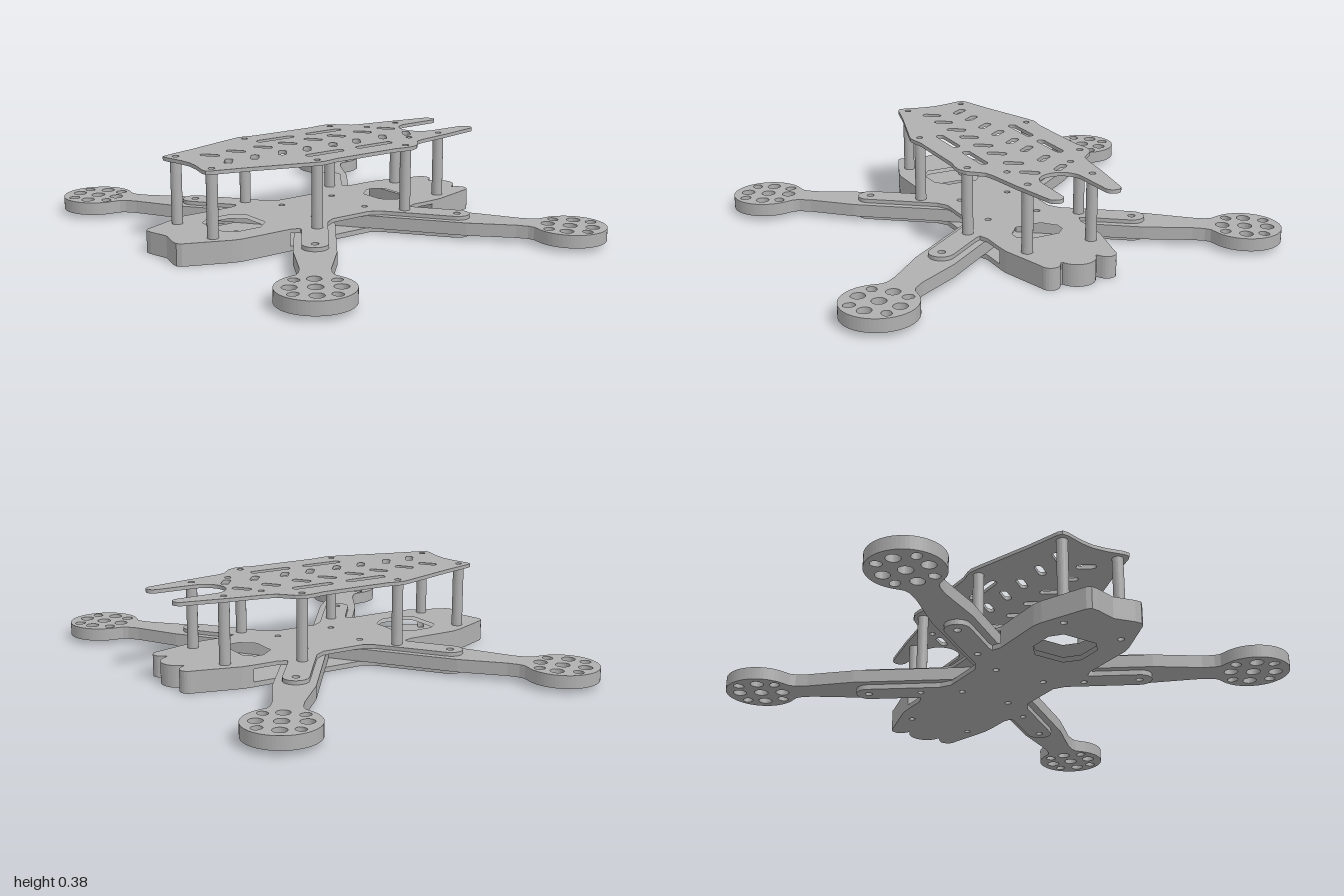
import * as THREE from 'three';

const V = (x, z) => new THREE.Vector2(x, z);

// closed circle or capsule outline in the (x, z) plane
function slot(x, z, r, half = 0, angle = 0, n = 24) {
  const pts = [];
  for (let i = 0; i < n; i++) {
    const a = ((i + 0.5) / n) * Math.PI * 2;
    const px = r * Math.cos(a) + Math.sign(Math.cos(a)) * half, pz = r * Math.sin(a);
    pts.push(V(x + px * Math.cos(angle) - pz * Math.sin(angle), z + px * Math.sin(angle) + pz * Math.cos(angle)));
  }
  return pts;
}

// full outline from its +x half, listed from front centre to rear centre
const mirrored = half => [
  ...half,
  ...half.filter(p => p.x > 1e-4).reverse().map(p => V(-p.x, p.y)),
];

const arc = (cx, cz, r, a0, a1, n) =>
  Array.from({ length: n + 1 }, (_, i) => {
    const a = a0 + ((a1 - a0) * i) / n;
    return V(cx + r * Math.cos(a), cz + r * Math.sin(a));
  });

// flat sheet lying between heights y0 and y1
function plate(name, outline, holes, y0, y1, material) {
  const shape = new THREE.Shape(outline);
  shape.holes = holes.map(h => new THREE.Path(h));
  const geo = new THREE.ExtrudeGeometry(shape, { depth: y1 - y0, bevelEnabled: false });
  geo.rotateX(Math.PI / 2).translate(0, y1, 0);
  const mesh = new THREE.Mesh(geo, material);
  mesh.name = name;
  return mesh;
}

export function createModel() {
  const group = new THREE.Group();
  const grey = new THREE.MeshStandardMaterial({ color: 0xb0b0b0 });
  grey.name = 'carbon grey';
  const add = (...args) => group.add(plate(...args, grey));
  const PI = Math.PI;

  const posts = [[0.14, 0.665], [0.27, 0.235], [0.27, -0.245], [0.15, -0.545]];
  const both = (list, f) => list.flatMap(p => [1, -1].map(s => f(p, s)));
  const postHoles = both(posts, ([x, z], s) => slot(s * x, z, 0.014));

  // arm axis: from the motor pod centre toward the middle
  const pod = V(0.845, 0.675), tab = V(0.455, 0.385);
  const ux = -0.803, uz = -0.597;
  const local = (u, v) => V(pod.x + u * ux + v * uz, pod.y + u * uz - v * ux);

  // arms with drilled motor pods
  const upper = [[0.127, 0.089], [0.143, 0.072], [0.168, 0.063], [0.22, 0.061], [0.43, 0.087]];
  const armOutline = [
    ...arc(0, 0, 0.155, 0.64, 2 * PI - 0.64, 48).map(p => local(p.x, p.y)),
    ...upper.slice(1).map(([u, v]) => local(u, -v)),
    local(1.02, -0.087), local(1.05, 0), local(0.98, 0.087),
    ...upper.slice(1).reverse().map(([u, v]) => local(u, v)),
  ];
  const armHoles = [slot(pod.x, pod.y, 0.03), slot(tab.x, tab.y, 0.016), slot(0.27, 0.24, 0.014)];
  for (let i = 0; i < 4; i++) {
    const a = Math.atan2(15, -10) + (i * PI) / 2, b = Math.atan2(21, 3) + (i * PI) / 2;
    armHoles.push(slot(pod.x + 0.095 * Math.cos(a), pod.y + 0.095 * Math.sin(a), 0.029));
    armHoles.push(slot(pod.x + 0.113 * Math.cos(b), pod.y + 0.113 * Math.sin(b), 0.02, 0.004, b));
  }
  for (const sx of [1, -1]) for (const sz of [1, -1]) {
    const flip = pts => pts.map(p => V(p.x * sx, p.y * sz));
    const name = `${sz > 0 ? 'front' : 'rear'}${sx > 0 ? 'Left' : 'Right'}Arm`;
    add(name, flip(armOutline), armHoles.map(flip), 0.022, 0.078);
  }

  // clamping plates with a rounded tab over every arm
  const nose = [V(0, 0.8), V(0.09, 0.823), V(0.12, 0.825), V(0.137, 0.81), V(0.215, 0.62), V(0.225, 0.58), V(0.225, 0.45)];
  const tail = [
    V(0.225, -0.45), V(0.222, -0.5), V(0.175, -0.68),
    ...arc(0.13, -0.7, 0.04, 0, -PI * 0.8, 8), V(0.083, -0.7),
    ...arc(0, -0.68, 0.08, -0.3, -PI / 2, 8),
  ];
  tail[tail.length - 1].x = 0;
  const tabAngle = Math.atan2(-uz, -ux);
  const tabEdge = [
    V(0.225, 0.34), V(0.24, 0.3), V(0.262, 0.31),
    ...arc(tab.x, tab.y, 0.055, tabAngle + PI / 2, tabAngle - PI / 2, 16),
    V(0.23, 0.149), V(0.2, 0.1),
  ];
  const tabEdgeRear = tabEdge.map(p => V(p.x, -p.y)).reverse();
  const clampOutline = mirrored([...nose, ...tabEdge, ...tabEdgeRear, ...tail]);
  const frontWindow = mirrored([V(0, 0.58), V(0.08, 0.58), V(0.12, 0.53), V(0.12, 0.42), V(0.07, 0.36), V(0, 0.36)]);
  const rearWindow = mirrored([V(0, -0.28), V(0.06, -0.28), V(0.11, -0.34), V(0.11, -0.38), V(0.07, -0.42), V(0, -0.42)]);
  const clampHoles = [
    ...postHoles,
    ...both([[tab.x, tab.y], [tab.x, -tab.y]], ([x, z], s) => slot(s * x, z, 0.016)),
    ...both([[0.12, 0.14], [0.12, -0.14]], ([x, z], s) => slot(s * x, z, 0.014)),
    frontWindow,
  ];
  add('bottomPlate', clampOutline, clampHoles, 0, 0.022);
  add('middlePlate', clampOutline, [...clampHoles, rearWindow], 0.078, 0.095);

  // solid spacers between the clamping plates
  add('noseSpacer', mirrored([...nose, V(0.225, 0.34), V(0.12, 0.27), V(0, 0.2)]),
    [frontWindow, ...postHoles.slice(0, 2)], 0.022, 0.078);
  add('tailSpacer', mirrored([V(0, -0.45), ...tail]), postHoles.slice(6), 0.022, 0.078);

  // hollow standoffs
  both(posts, ([x, z], s) =>
    add('standoff', slot(s * x, z, 0.024), [slot(s * x, z, 0.014)], 0.095, 0.368));

  // top plate with a forked rear
  const topOutline = mirrored([
    V(0, 0.683), V(0.06, 0.69), V(0.14, 0.71), V(0.168, 0.71), V(0.18, 0.69), V(0.22, 0.54),
    V(0.3, 0.285), V(0.312, 0.24), V(0.31, 0.21), V(0.3, 0.16),
    V(0.3, -0.16), V(0.31, -0.21), V(0.312, -0.25), V(0.295, -0.29), V(0.235, -0.345), V(0.222, -0.39), V(0.2, -0.54),
    ...arc(0.13, -0.728, 0.034, 0, -PI, 12),
    ...arc(0, -0.56, 0.092, 0, -PI / 2, 1).slice(0, 1),
    ...arc(0, -0.56, 0.092, 0.15, PI / 2, 12).slice(0, -1), V(0, -0.468),
  ]);
  const ventRows = [-0.42, -0.28, -0.13, 0, 0.14, 0.27, 0.41, 0.54];
  const topHoles = [
    ...postHoles,
    ...both([-0.37], (z, s) => slot(s * 0.15, z, 0.014)),
    ...both(ventRows, (z, s) => slot(s * 0.072, z, 0.017, 0.026, s * 0.64)),
    ...both([-0.14, 0.128], (z, s) => slot(s * 0.182, z, 0.018, 0.08, PI / 2)),
  ];
  add('topPlate', topOutline, topHoles, 0.368, 0.384);

  return group;
}
